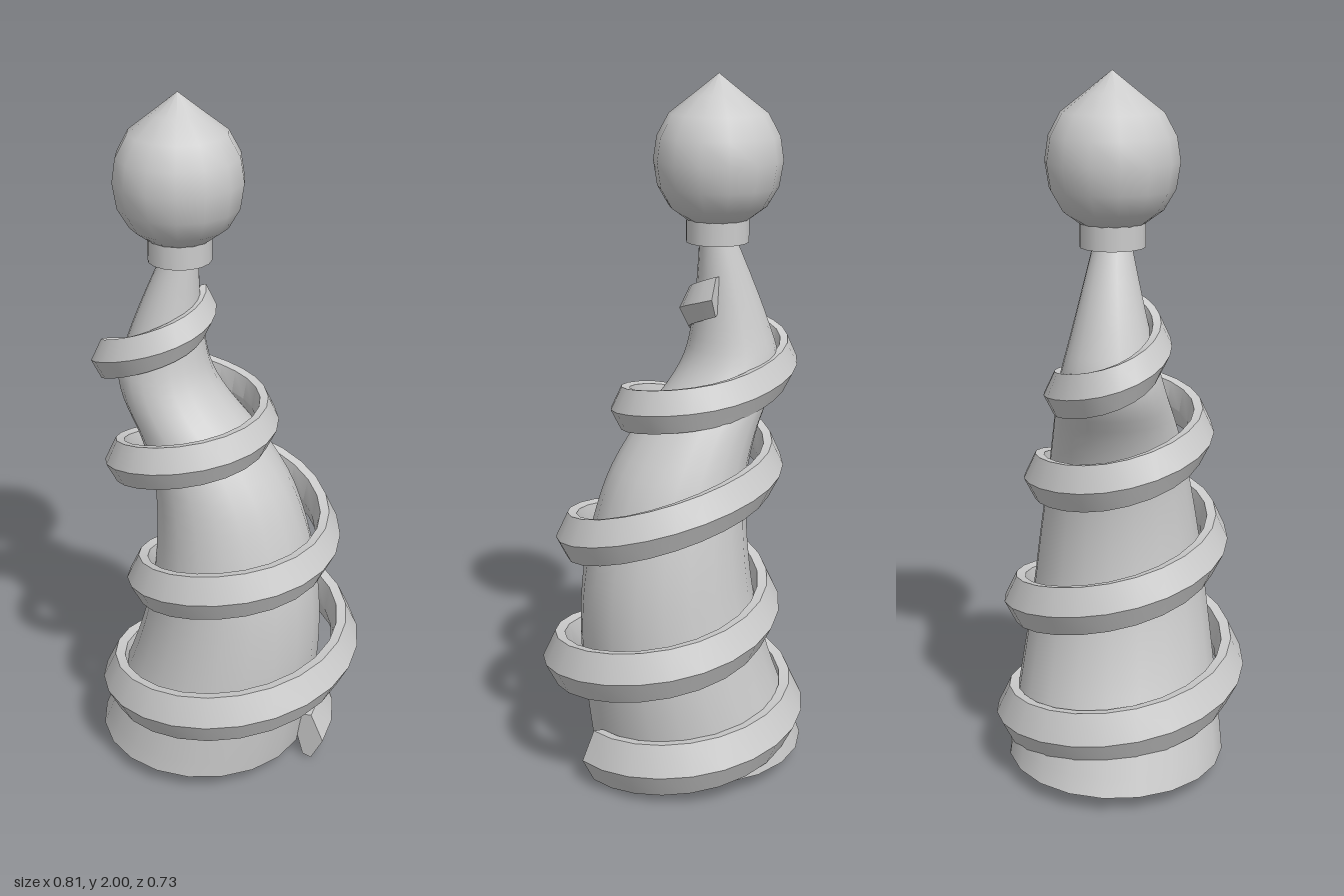
import * as THREE from 'three';
import { toCreasedNormals } from 'three/addons/utils/BufferGeometryUtils.js';

const material = new THREE.MeshStandardMaterial({ color: 0xcccccc, side: THREE.DoubleSide });

// Skin a list of closed rings, optionally closing both ends
function loft(rings, capped) {
  const n = rings[0].length;
  const index = [];
  for (let i = 0; i < rings.length - 1; i++) {
    for (let j = 0; j < n; j++) {
      const k = (j + 1) % n;
      const a = i * n + j, b = i * n + k, c = b + n, d = a + n;
      index.push(a, b, c, a, c, d);
    }
  }
  if (capped) {
    const last = (rings.length - 1) * n;
    for (let j = 1; j < n - 1; j++) {
      index.push(0, j + 1, j, last, last + j, last + j + 1);
    }
  }
  const geometry = new THREE.BufferGeometry().setFromPoints(rings.flat());
  geometry.setIndex(index);
  geometry.computeVertexNormals();
  return geometry;
}

const smoothThrough = (rows) =>
  new THREE.CatmullRomCurve3(rows.map((r) => new THREE.Vector3(...r)), false, 'catmullrom', 0.5);

// Swaying tapered body: [centre x, height, radius]
function bodyGeometry() {
  const spine = smoothThrough([
    [-0.075, 0.05, 0.315], [-0.035, 0.2, 0.297], [0.005, 0.36, 0.275], [0.028, 0.52, 0.253],
    [0.03, 0.66, 0.235], [0.015, 0.8, 0.214], [-0.015, 0.92, 0.194], [-0.08, 1.04, 0.172],
    [-0.155, 1.14, 0.152], [-0.19, 1.22, 0.134], [-0.187, 1.31, 0.11], [-0.17, 1.42, 0.083],
    [-0.14, 1.56, 0.05],
  ]);
  const rings = [];
  for (let i = 0; i <= 36; i++) {
    const p = spine.getPoint(i / 36);
    const ring = [];
    for (let j = 0; j < 20; j++) {
      const a = (j / 20) * Math.PI * 2;
      ring.push(new THREE.Vector3(p.x + p.z * Math.cos(a), p.y, -p.z * Math.sin(a)));
    }
    rings.push(ring);
  }
  return loft(rings, false);
}

// Spiral band, one row per quarter turn: [centre x, height, outer radius]
function bandGeometry() {
  const path = smoothThrough([
    [-0.033, 0.075, 0.36], [-0.02, 0.14, 0.36], [-0.01, 0.205, 0.37], [0.01, 0.285, 0.37],
    [0.04, 0.375, 0.36], [0.045, 0.46, 0.345], [0.04, 0.56, 0.33], [0.035, 0.67, 0.315],
    [0.05, 0.75, 0.295], [0.0, 0.86, 0.27], [-0.07, 0.93, 0.27], [-0.09, 1.03, 0.275],
    [-0.08, 1.095, 0.235], [-0.13, 1.14, 0.19], [-0.215, 1.21, 0.19], [-0.21, 1.3, 0.165],
    [-0.2, 1.38, 0.155], [-0.195, 1.45, 0.14],
  ]);
  // Hexagonal section: [radial, vertical] offsets from the outer ridge
  const section = [
    [-0.04, 0.085], [0, 0], [-0.037, -0.075], [-0.065, -0.068], [-0.085, 0], [-0.07, 0.08],
  ];
  const quarters = 17;
  const stepsPerQuarter = 6;
  const steps = 16 * stepsPerQuarter + 2;
  const rings = [];
  for (let i = 0; i <= steps; i++) {
    const q = i / stepsPerQuarter;
    const p = path.getPoint(q / quarters);
    const a = (q * Math.PI) / 2;
    const scale = 1 - 0.3 * (i / steps);
    rings.push(section.map(([dr, dy]) => {
      const r = p.z + dr * scale;
      return new THREE.Vector3(p.x + r * Math.cos(a), p.y + dy * scale, -r * Math.sin(a));
    }));
  }
  return toCreasedNormals(loft(rings, true), 0.5);
}

export function createModel() {
  const model = new THREE.Group();
  const add = (name, geometry, x = 0, y = 0) => {
    const mesh = new THREE.Mesh(geometry, material);
    mesh.name = name;
    mesh.position.set(x, y, 0);
    model.add(mesh);
  };

  add('body', bodyGeometry());
  add('spiralBand', bandGeometry());

  // Collar under the finial
  add('collar', new THREE.CylinderGeometry(0.088, 0.088, 0.075, 16), -0.14, 1.585);

  // Pointed ball finial
  const profile = [
    [0, 1.59], [0.08, 1.605], [0.135, 1.645], [0.167, 1.7], [0.178, 1.77],
    [0.168, 1.835], [0.135, 1.895], [0.07, 1.945], [0, 2],
  ].map(([x, y]) => new THREE.Vector2(x, y));
  add('finial', new THREE.LatheGeometry(profile, 14), -0.14);

  return model;
}
